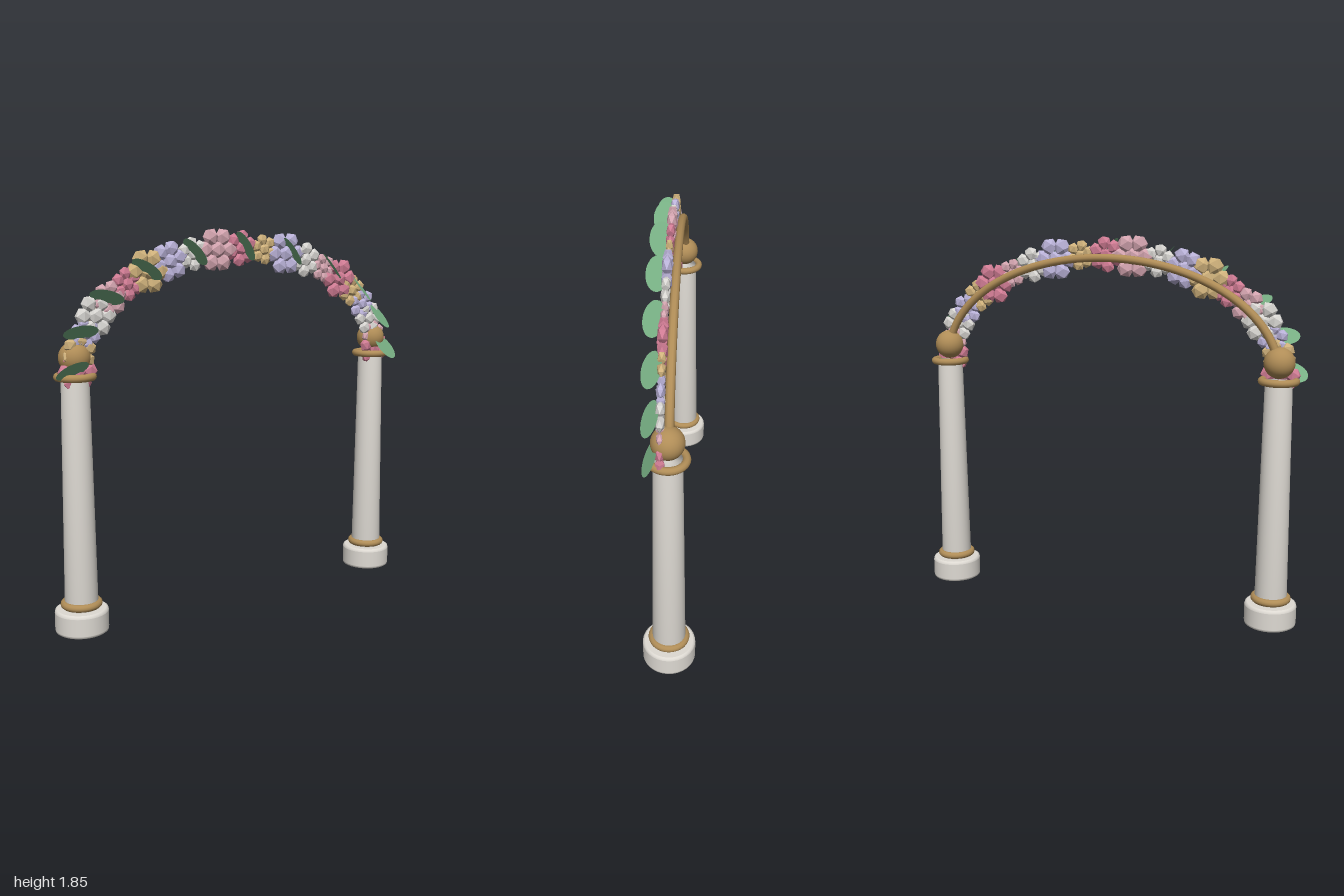
import * as THREE from 'three';

const mat = (name, color, extra = {}) =>
  Object.assign(new THREE.MeshStandardMaterial({ color, ...extra }), { name });

const V = (x, y, z) => new THREE.Vector3(x, y, z);
const P = (x, y) => new THREE.Vector2(x, y);

const HALF_SPAN = 0.875, SPRING_Y = 1.22;
const archPoint = (t, rise, z) =>
  V(-HALF_SPAN * Math.cos(t), SPRING_Y + rise * Math.sin(t), z);

export function createModel() {
  const stone = mat('stone', 0xdedad3);
  const bronze = mat('bronze', 0xb08d57);
  const leafGreen = mat('leaf green', 0x78b084, { side: THREE.DoubleSide });
  const blooms = [
    mat('rose', 0xd07c94),
    mat('straw yellow', 0xd0b27c),
    mat('lavender', 0xbab2d8),
    mat('ivory', 0xd8d6d2),
    mat('dusty pink', 0xd4a5b0),
  ];
  blooms.forEach((m) => { m.flatShading = true; });

  const model = new THREE.Group();
  model.name = 'flowerArch';
  const add = (parent, name, geo, material, pos = V(0, 0, 0)) => {
    const m = new THREE.Mesh(geo, material);
    m.name = name;
    m.position.copy(pos);
    parent.add(m);
    return m;
  };

  // Columns: plinth, tapered shaft, two rings and a ball finial
  const plinthGeo = new THREE.LatheGeometry([
    P(0, 0), P(0.117, 0), P(0.117, 0), P(0.123, 0.004), P(0.125, 0.012), P(0.125, 0.013),
    P(0.125, 0.095), P(0.125, 0.096), P(0.122, 0.106), P(0.115, 0.11), P(0.114, 0.11), P(0, 0.11),
  ].filter((p, i, a) => !i || p.distanceTo(a[i - 1]) > 0), 32);
  const shaftGeo = new THREE.LatheGeometry(
    [P(0, 0.11), P(0.078, 0.11), P(0.064, 1.2), P(0, 1.2)], 32);
  const ringGeo = new THREE.TorusGeometry(0.079, 0.018, 12, 36).rotateX(Math.PI / 2);
  const ballGeo = new THREE.SphereGeometry(0.073, 28, 18);
  for (const side of [-1, 1]) {
    const column = new THREE.Group();
    column.name = side > 0 ? 'leftColumn' : 'rightColumn';
    column.position.set(side * HALF_SPAN, 0, -0.003);
    add(column, 'plinth', plinthGeo, stone);
    add(column, 'shaft', shaftGeo, stone);
    add(column, 'lowerRing', ringGeo, bronze, V(0, 0.132, 0));
    add(column, 'upperRing', ringGeo, bronze, V(0, 1.195, 0));
    add(column, 'ball', ballGeo, bronze, V(0, 1.28, 0));
    model.add(column);
  }

  // Elliptical arch rod
  const rod = new THREE.CatmullRomCurve3(
    Array.from({ length: 33 }, (_, i) => archPoint((Math.PI * i) / 32, 0.523, -0.009)));
  add(model, 'archRod', new THREE.TubeGeometry(rod, 64, 0.02, 10), bronze);

  // Flowers: a faceted heart with six flattened petals
  const radii = [0.095, 0.085, 0.075, 0.1, 0.085, 0.08, 0.108, 0.098, 0.082, 0.11, 0.09,
    0.076, 0.11, 0.09, 0.075, 0.108, 0.085, 0.085, 0.092, 0.075, 0.095];
  const petalGeo = new THREE.IcosahedronGeometry(1, 0);
  const flowers = new THREE.Group();
  flowers.name = 'flowers';
  model.add(flowers);
  radii.forEach((r, i) => {
    const flower = new THREE.Group();
    flower.name = 'flower';
    flower.position.copy(archPoint((Math.PI * i) / 20, 0.538, 0.027));
    flower.rotation.z = i * 0.35;
    for (let k = 0; k < 7; k++) {
      const a = (k * Math.PI) / 3;
      const d = k < 6 ? r * 0.62 : 0;
      const petal = add(flower, k < 6 ? 'petal' : 'heart', petalGeo, blooms[i % 5],
        V(d * Math.cos(a), d * Math.sin(a), k < 6 ? 0 : 0.005));
      petal.scale.set(r * 0.41, r * 0.41, r * 0.24);
      petal.rotation.z = a;
    }
    flowers.add(flower);
  });

  // Leaves: thin ovals that turn gradually from one end of the arch to the other
  const leafGeo = new THREE.CircleGeometry(1, 24);
  const normals = [V(-0.15, 0.7, -0.7), V(0.85, 0.5, 0), V(0.2, 0.5, 0.83)];
  const lengths = [V(0.95, 0.25, 0.2), V(0.5, -0.85, 0), V(0.7, -0.65, 0.3)];
  const blend = (set, s) =>
    set[1].clone().lerp(s < 0 ? set[0] : set[2], Math.abs(s)).normalize();
  const leaves = new THREE.Group();
  leaves.name = 'leaves';
  model.add(leaves);
  for (let i = 0; i <= 20; i += 2) {
    const s = (i - 10) / 10;
    const pos = archPoint((Math.PI * i) / 20, 0.538, 0.07);
    pos.x *= 1.05;
    pos.y += 0.01;
    const leaf = add(leaves, 'leaf', leafGeo, leafGreen, pos);
    const n = blend(normals, s);
    const l = blend(lengths, s);
    l.addScaledVector(n, -l.dot(n)).normalize();
    leaf.quaternion.setFromRotationMatrix(
      new THREE.Matrix4().makeBasis(l, n.clone().cross(l), n));
    leaf.scale.set(0.08, 0.054, 1);
  }
  return model;
}
